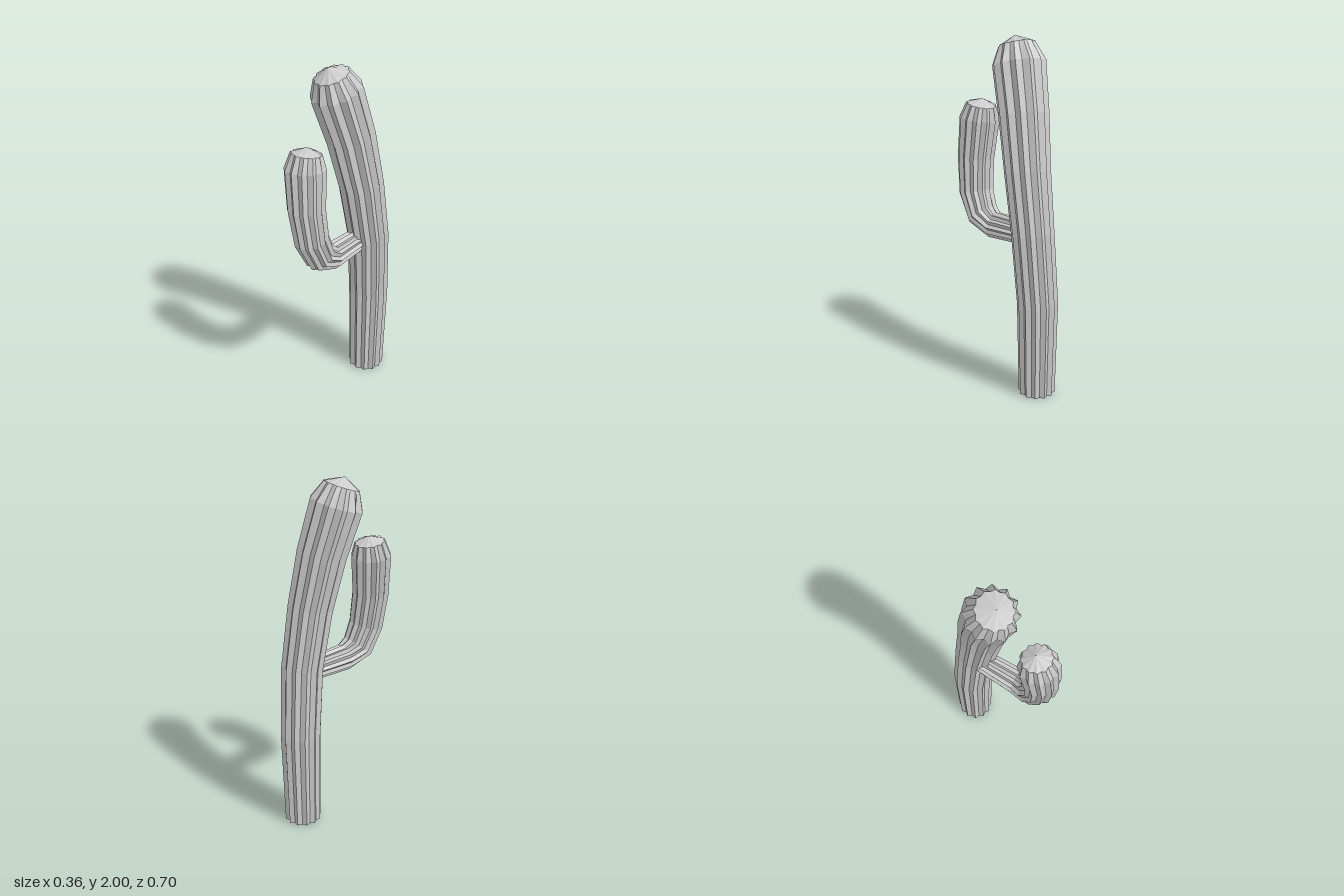
import * as THREE from 'three';

const RIBS = 12;

// Ribbed stem: each ring is [x, y, z, ridge radius, groove radius]; radius 0 closes the tip.
function ribbedStem(name, rings, startDirection) {
  const centres = rings.map(r => new THREE.Vector3(r[0], r[1], r[2]));
  const last = rings.length - 1;
  const n = RIBS * 2;

  const loops = rings.map(([, , , ridge, groove], i) => {
    const t = i === 0
      ? startDirection.clone()
      : centres[Math.min(i + 1, last)].clone().sub(centres[i - 1]).normalize();
    const u = new THREE.Vector3(1, 0, 0);
    u.addScaledVector(t, -u.dot(t)).normalize();
    const v = new THREE.Vector3().crossVectors(t, u);
    return Array.from({ length: n }, (_, j) => {
      const a = (j / n) * Math.PI * 2;
      const r = j % 2 ? groove : ridge;
      return centres[i].clone()
        .addScaledVector(u, r * Math.cos(a))
        .addScaledVector(v, r * Math.sin(a));
    });
  });

  const pos = [];
  const tri = (...pts) => pts.forEach(p => pos.push(p.x, p.y, p.z));
  for (let i = 0; i < last; i++) {
    for (let j = 0; j < n; j++) {
      const k = (j + 1) % n;
      const [a, b, c, d] = [loops[i][j], loops[i][k], loops[i + 1][k], loops[i + 1][j]];
      tri(a, b, c);
      if (rings[i + 1][3] > 0) tri(a, c, d);
    }
  }
  const geometry = new THREE.BufferGeometry();
  geometry.setAttribute('position', new THREE.Float32BufferAttribute(pos, 3));
  geometry.computeVertexNormals();
  const mesh = new THREE.Mesh(geometry, new THREE.MeshStandardMaterial({
    color: 0xcccccc, flatShading: true, side: THREE.DoubleSide,
  }));
  mesh.name = name;
  return mesh;
}

export function createModel() {
  const cactus = new THREE.Group();
  cactus.name = 'cactus';

  // Leaning trunk, open underneath
  cactus.add(ribbedStem('trunk', [
    [0.047, 0, -0.232, 0.104, 0.088],
    [0.052, 0.55, -0.235, 0.115, 0.098],
    [0.062, 0.96, -0.205, 0.119, 0.102],
    [0.045, 1.3, -0.155, 0.127, 0.108],
    [0.008, 1.6, -0.102, 0.138, 0.116],
    [-0.037, 1.86, -0.038, 0.146, 0.123],
    [-0.05, 1.955, -0.012, 0.1, 0.09],
    [-0.057, 2, 0.005, 0, 0],
  ], new THREE.Vector3(0, 1, 0)));

  // Arm leaving the front of the trunk and curving upward
  cactus.add(ribbedStem('arm', [
    [0.035, 0.94, -0.16, 0.066, 0.053],
    [0.025, 0.94, 0.085, 0.076, 0.062],
    [0.012, 0.985, 0.178, 0.092, 0.077],
    [0, 1.11, 0.233, 0.098, 0.082],
    [-0.018, 1.3, 0.248, 0.104, 0.088],
    [-0.034, 1.525, 0.232, 0.113, 0.095],
    [-0.035, 1.607, 0.218, 0.086, 0.076],
    [-0.035, 1.64, 0.211, 0, 0],
  ], new THREE.Vector3(0, 0, 1)));

  return cactus;
}
